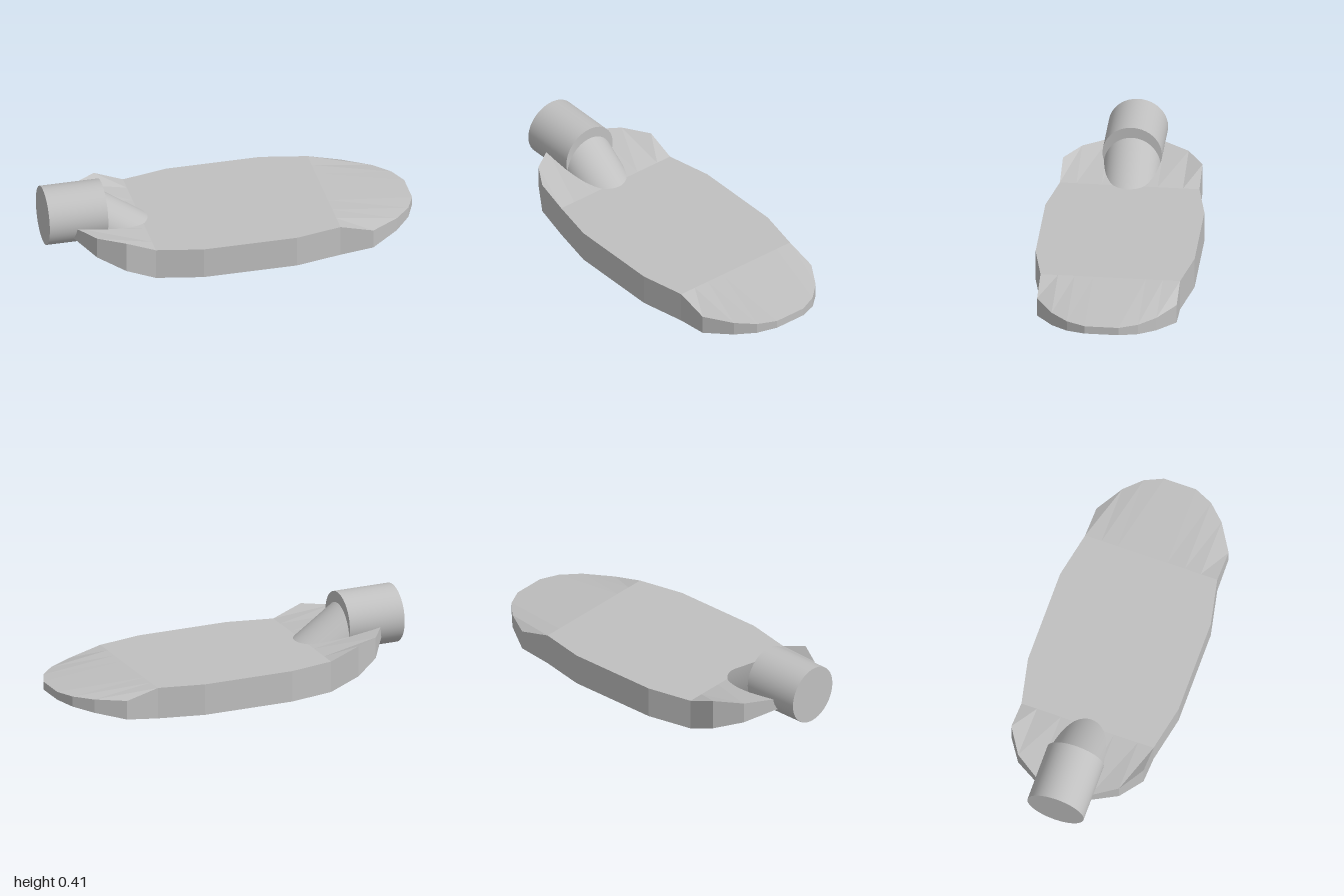
import * as THREE from 'three';

// Flat-shaded geometry from a list of four-cornered faces
function quadGeometry(quads) {
  const pos = [];
  for (const [a, b, c, d] of quads) pos.push(...a, ...b, ...c, ...a, ...c, ...d);
  const g = new THREE.BufferGeometry();
  g.setAttribute('position', new THREE.Float32BufferAttribute(pos, 3));
  g.computeVertexNormals();
  return g;
}

// Paddle-shaped plate with both ends bent upwards
function bladeGeometry() {
  // x, half width, rim height, underside height
  const st = [
    [-0.9, 0.09, 0.235, 0.182], [-0.86, 0.15, 0.235, 0.165], [-0.77, 0.285, 0.235, 0.118],
    [-0.63, 0.373, 0.235, 0.065], [-0.47, 0.373, 0.172, 0], [-0.22, 0.425, 0.172, 0],
    [0.29, 0.425, 0.172, 0], [0.54, 0.373, 0.172, 0], [0.72, 0.373, 0.125, 0.02],
    [0.87, 0.28, 0.125, 0.05], [0.955, 0.19, 0.125, 0.068], [1, 0.09, 0.125, 0.081],
  ];
  const L = 4, R = 7, last = st.length - 1;
  const top = (i, s) => [st[i][0], st[i][2], s * st[i][1]];
  const bot = (i, s) => [st[i][0], st[i][3], s * st[i][1]];
  const fold = (k, i, s) => [st[k][0], st[k][2], s * st[i][1]];
  const quads = [];
  const both = (f) => { quads.push(f(1), f(-1).reverse()); };

  for (let i = 0; i < last; i++) {
    // side walls and underside
    both((s) => [bot(i, s), bot(i + 1, s), top(i + 1, s), top(i, s)]);
    quads.push([bot(i, -1), bot(i + 1, -1), bot(i + 1, 1), bot(i, 1)]);
    // top: ruled strips from each fold line to the rim, flat in the middle
    if (i < L - 1) both((s) => [top(i, s), top(i + 1, s), fold(L, i + 1, s), fold(L, i, s)]);
    else if (i >= L && i < R) quads.push([top(i, -1), top(i, 1), top(i + 1, 1), top(i + 1, -1)]);
    else if (i > R) both((s) => [fold(R, i + 1, s), fold(R, i, s), top(i, s), top(i + 1, s)]);
  }
  // centre strips and end walls
  quads.push([top(0, -1), top(0, 1), fold(L, 0, 1), fold(L, 0, -1)]);
  quads.push([fold(R, last, -1), fold(R, last, 1), top(last, 1), top(last, -1)]);
  quads.push([bot(0, -1), bot(0, 1), top(0, 1), top(0, -1)]);
  quads.push([bot(last, 1), bot(last, -1), top(last, -1), top(last, 1)]);
  return quadGeometry(quads);
}

// Half-round fairing sloping down from the socket into the blade
function fairingGeometry() {
  const g = new THREE.CylinderGeometry(1, 1, 0.25, 32, 1, true, 0, Math.PI);
  g.rotateZ(-Math.PI / 2); // axis along x, arch turned upright below
  const p = g.attributes.position, n = g.attributes.normal;
  const slope = -0.7;
  for (let i = 0; i < p.count; i++) {
    const row = i < p.count / 2 ? 0 : 1;
    const a = ((i % (p.count / 2)) / 32) * Math.PI;
    const c = Math.cos(a), s = Math.sin(a);
    const dx = row ? 0.25 : 0;
    p.setXYZ(i, -0.68 + dx, 0.172 + 0.175 * s + slope * dx, 0.008 + 0.154 * c);
    const v = new THREE.Vector3(-slope * s / 0.175, s / 0.175, c / 0.154).normalize();
    n.setXYZ(i, v.x, v.y, v.z);
  }
  return g;
}

export function createModel() {
  const group = new THREE.Group();
  const grey = new THREE.MeshStandardMaterial({ color: 0xc0c0c0 });
  const greySheet = new THREE.MeshStandardMaterial({ color: 0xc0c0c0, side: THREE.DoubleSide });
  grey.name = 'grey';
  greySheet.name = 'greyOpenSurface';

  const add = (name, geometry, material = grey) => {
    const mesh = new THREE.Mesh(geometry, material);
    mesh.name = name;
    group.add(mesh);
    return mesh;
  };

  add('blade', bladeGeometry());

  // Round socket lying along x
  const socket = new THREE.CylinderGeometry(0.159, 0.159, 0.32, 40);
  socket.rotateZ(Math.PI / 2);
  add('socket', socket).position.set(-0.84, 0.249, 0.008);

  add('fairing', fairingGeometry(), greySheet);
  return group;
}
